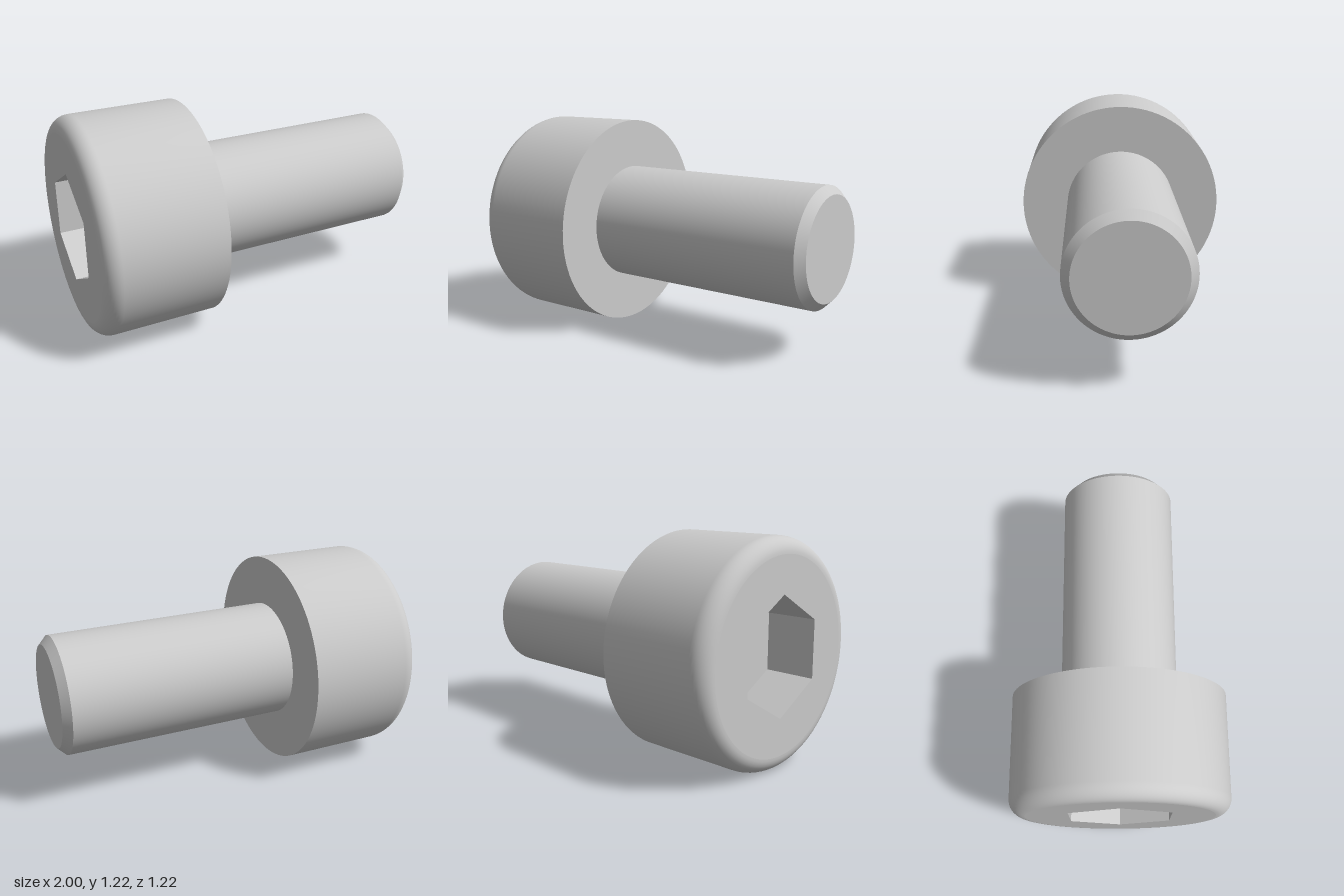
import * as THREE from 'three';
import { toCreasedNormals } from 'three/addons/utils/BufferGeometryUtils.js';

const HEAD_R = 0.611, FILLET = 0.089, HEAD_END = -0.333;
const SHANK_R = 0.333, CHAMFER = 0.045;
const HEX_R = 0.321, HEX_DEPTH = 0.293, SEGMENTS = 96;

export function createModel() {
  const group = new THREE.Group();
  const material = new THREE.MeshStandardMaterial({ color: 0xcccccc });

  function add(name, geometry, mat = material) {
    const mesh = new THREE.Mesh(geometry, mat);
    mesh.name = name;
    mesh.position.y = HEAD_R;
    group.add(mesh);
  }

  // Revolves [radius, x] points about the x axis, keeping sharp edges
  function revolve(points) {
    const profile = points.map(([r, x]) => new THREE.Vector2(r, x));
    const lathe = new THREE.LatheGeometry(profile, SEGMENTS).rotateZ(-Math.PI / 2);
    return toCreasedNormals(lathe, 0.5);
  }

  // Head: rounded outer rim, straight side, flat underside
  const head = [];
  for (let i = 0; i <= 10; i++) {
    const a = (i / 10) * Math.PI / 2;
    head.push([HEAD_R - FILLET + FILLET * Math.sin(a), -1 + FILLET - FILLET * Math.cos(a)]);
  }
  head.push([HEAD_R, HEAD_END], [SHANK_R, HEAD_END]);
  add('head', revolve(head));

  // Shank with chamfered tip
  add('shank', revolve([
    [SHANK_R, HEAD_END], [SHANK_R, 1 - CHAMFER], [SHANK_R - CHAMFER, 1], [0, 1],
  ]));

  // Flat head face with hexagonal opening, corners up and down
  const face = new THREE.Shape().absarc(0, 0, HEAD_R - FILLET, 0, Math.PI * 2);
  const corners = Array.from({ length: 6 }, (_, i) => {
    const a = Math.PI / 2 - i * Math.PI / 3;
    return new THREE.Vector2(HEX_R * Math.cos(a), HEX_R * Math.sin(a));
  });
  face.holes.push(new THREE.Path(corners));
  add('headFace', new THREE.ShapeGeometry(face, SEGMENTS).rotateY(-Math.PI / 2).translate(-1, 0, 0));

  // Hex socket walls, seen from inside
  const wallMaterial = new THREE.MeshStandardMaterial({
    color: 0xcccccc, flatShading: true, side: THREE.BackSide,
  });
  add('socketWalls', new THREE.CylinderGeometry(HEX_R, HEX_R, HEX_DEPTH, 6, 1, true, Math.PI / 6)
    .rotateZ(-Math.PI / 2).translate(-1 + HEX_DEPTH / 2, 0, 0), wallMaterial);

  // Socket floor
  add('socketFloor', new THREE.CircleGeometry(HEX_R, 6, Math.PI / 2)
    .rotateY(-Math.PI / 2).translate(-1 + HEX_DEPTH, 0, 0));

  return group;
}
